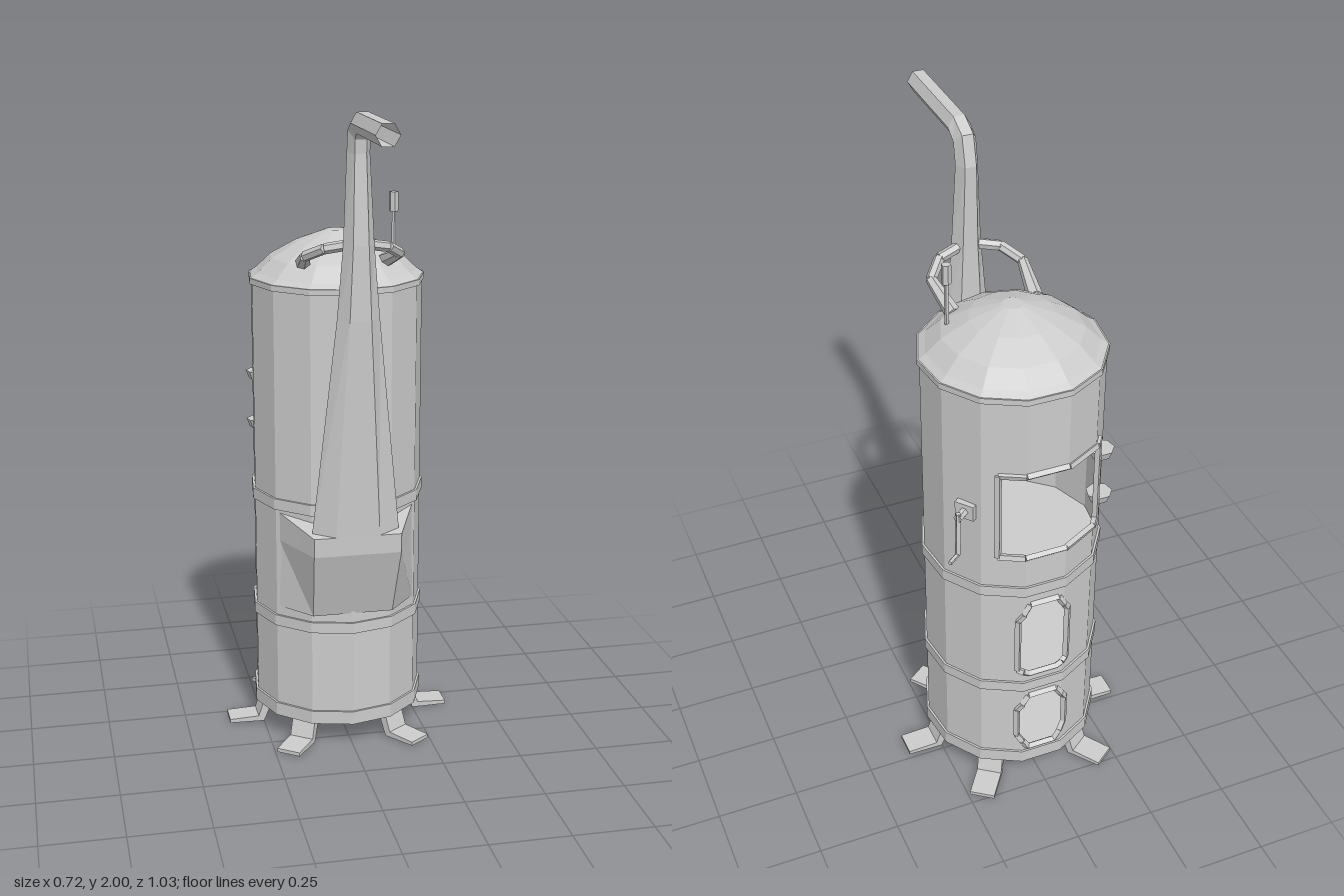
import * as THREE from 'three';

const N = 13, R = 0.268, CZ = -0.197;
const mat = new THREE.MeshStandardMaterial({ color: 0xcccccc, flatShading: true, side: THREE.DoubleSide });
const V = (x, y, z) => new THREE.Vector3(x, y, z);

function add(parent, name, geo, x = 0, y = 0, z = 0) {
  const m = new THREE.Mesh(geo, mat);
  m.name = name;
  m.position.set(x, y, z);
  parent.add(m);
  return m;
}

function meshGeo(points, index) {
  const g = new THREE.BufferGeometry().setFromPoints(points);
  g.setIndex(index);
  g.computeVertexNormals();
  return g;
}

// Skin over a list of equal-length closed rings
function loft(rings) {
  const n = rings[0].length, index = [];
  for (let i = 0; i < rings.length - 1; i++)
    for (let j = 0; j < n; j++) {
      const a = i * n + j, b = i * n + (j + 1) % n;
      index.push(a, b, b + n, a, b + n, a + n);
    }
  return meshGeo(rings.flat(), index);
}

// Straight bar between two points
function bar(parent, name, a, b, r, sides = 4, r2 = r) {
  const d = b.clone().sub(a);
  const m = add(parent, name, new THREE.CylinderGeometry(r2, r, d.length(), sides));
  m.position.copy(a).add(b).multiplyScalar(0.5);
  m.quaternion.setFromUnitVectors(V(0, 1, 0), d.normalize());
  return m;
}

const lathe = pts => new THREE.LatheGeometry(pts.map(p => new THREE.Vector2(...p)), N);

// Openings in the back wall, as [x, lower y, upper y] from left to right
const openings = [
  { name: 'fireDoorFrame', cols: [[0.08, 0.19, 0.30], [0.045, 0.13, 0.355], [-0.045, 0.13, 0.355], [-0.08, 0.19, 0.30]] },
  { name: 'middleDoorFrame', cols: [[0.08, 0.47, 0.67], [0.045, 0.45, 0.73], [-0.045, 0.45, 0.73], [-0.08, 0.47, 0.67]] },
  { name: 'upperDoorFrame', cols: [[0.135, 0.915, 1.21], [-0.2, 0.915, 1.21]] },
];

function span(cols, x) {
  for (let i = 0; i < cols.length - 1; i++) {
    const [a, b] = [cols[i], cols[i + 1]];
    if (x <= a[0] + 1e-6 && x >= b[0] - 1e-6) {
      const t = (a[0] - x) / (a[0] - b[0]);
      return [a[1] + (b[1] - a[1]) * t, a[2] + (b[2] - a[2]) * t];
    }
  }
  return null;
}

// Wall columns: polygon corners plus the opening edges on the back facets
function wallColumns() {
  const corner = k => [R * Math.sin(k * 2 * Math.PI / N), CZ + R * Math.cos(k * 2 * Math.PI / N)];
  const cuts = [...new Set(openings.flatMap(o => o.cols.map(c => c[0])))].sort((a, b) => b - a);
  const out = [];
  for (let k = 0; k < N; k++) {
    const a = corner(k), b = corner(k + 1);
    out.push(a);
    if (k >= 4 && k <= 8)
      for (const x of cuts)
        if (x < a[0] && x > b[0]) out.push([x, a[1] + (b[1] - a[1]) * (a[0] - x) / (a[0] - b[0])]);
  }
  out.push(corner(N));
  return out;
}

function buildBody(g) {
  const cols = wallColumns(), pts = [], index = [];
  for (let i = 0; i < cols.length - 1; i++) {
    const [a, b] = [cols[i], cols[i + 1]];
    const ya = [0.075], yb = [0.075];
    if (a[1] < CZ && b[1] < CZ)
      for (const o of openings) {
        const sa = span(o.cols, a[0]), sb = span(o.cols, b[0]);
        if (sa && sb) { ya.push(...sa); yb.push(...sb); }
      }
    ya.push(1.465); yb.push(1.465);
    for (let j = 0; j < ya.length; j += 2) {
      const s = pts.length;
      pts.push(V(a[0], ya[j], a[1]), V(b[0], yb[j], b[1]), V(b[0], yb[j + 1], b[1]), V(a[0], ya[j + 1], a[1]));
      index.push(s, s + 1, s + 2, s, s + 2, s + 3);
    }
  }
  add(g, 'bodyWall', meshGeo(pts, index));

  // Raised trim around each opening
  for (const o of openings) {
    const inside = cols.filter(c => c[1] < CZ && span(o.cols, c[0]));
    const edge = s => inside.map(c => V(c[0], span(o.cols, c[0])[s], c[1]));
    const loop = [...edge(0), ...edge(1).reverse()];
    loop.forEach((p, i) => bar(g, o.name, p, loop[(i + 1) % loop.length], 0.011));
  }

  // Bands and rims
  for (const [y0, y1] of [[0.075, 0.118], [0.385, 0.42], [0.77, 0.805], [1.455, 1.473]])
    add(g, 'band', lathe([[R, y0], [0.275, y0], [0.275, y1], [R, y1]]), 0, 0, CZ);
  // Inner floors
  for (const y of [0.08, 0.4, 0.79]) add(g, 'innerFloor', lathe([[0, y], [R - 0.001, y]]), 0, 0, CZ);
  // Domed lid
  add(g, 'dome', lathe([[0.272, 1.472], [0.25, 1.487], [0.205, 1.53], [0.125, 1.575], [0.03, 1.61], [0, 1.61]]), 0, 0, CZ);
}

export function createModel() {
  const root = new THREE.Group();
  root.name = 'boiler';
  buildBody(root);

  // Six splayed feet
  const foot = new THREE.Shape([[0.215, 0.085], [0.245, 0.085], [0.268, 0.018], [0.362, 0.014], [0.362, 0.002], [0.25, 0]]
    .map(p => new THREE.Vector2(...p)));
  const footGeo = new THREE.ExtrudeGeometry(foot, { depth: 0.078, bevelEnabled: false }).translate(0, 0, -0.039);
  for (const deg of [0, 54, 126, 180, 234, 306])
    add(root, 'foot', footGeo, 0, 0, CZ).rotation.y = deg * Math.PI / 180;

  // Hood bulging from the front wall
  const hoodRing = (y, w, f, yBack = y, wf = 0.135) =>
    [V(w, yBack, -0.04), V(wf, y, f), V(-wf, y, f), V(-w, yBack, -0.04)];
  add(root, 'hood', loft([hoodRing(0.45, 0.215, 0.068, 0.45, 0.125), hoodRing(0.67, 0.212, 0.143), hoodRing(0.73, 0.212, 0.145, 0.76)]));
  add(root, 'hoodTop', meshGeo(hoodRing(0.73, 0.212, 0.145, 0.76), [0, 2, 1, 0, 3, 2]));

  // Tapering hexagonal flue: [y, z, lean, half width, half depth]
  const flue = [
    [0.73, 0.107, 0, 0.135, 0.038], [1.4, 0.143, 0, 0.064, 0.034], [1.62, 0.145, 0, 0.046, 0.035],
    [1.88, 0.137, 0, 0.034, 0.033], [1.945, 0.15, 0.8, 0.034, 0.034],
    [1.969, 0.19, Math.PI / 2, 0.034, 0.03], [1.969, 0.515, Math.PI / 2, 0.034, 0.03],
  ];
  const hex = [[1, 0], [0.5, 1], [-0.5, 1], [-1, 0], [-0.5, -1], [0.5, -1]];
  add(root, 'flue', loft(flue.map(([y, z, t, w, d]) =>
    hex.map(([a, b]) => V(a * w, y + b * d * Math.sin(t), z - b * d * Math.cos(t))))));

  // Arms tying the flue to the dome
  for (const s of [-1, 1]) {
    const p = [V(s * 0.125, 1.53, -0.07), V(s * 0.142, 1.575, 0.06), V(s * 0.095, 1.605, 0.115), V(s * 0.025, 1.618, 0.135)];
    for (let i = 0; i < 3; i++) bar(root, 'flueArm', p[i], p[i + 1], i ? 0.016 : 0.024, 6, 0.016);
  }

  // Valve rod on the dome
  bar(root, 'valveRod', V(0.165, 1.5, -0.122), V(0.165, 1.69, -0.122), 0.007, 5);
  bar(root, 'valveGrip', V(0.165, 1.67, -0.122), V(0.165, 1.73, -0.122), 0.014, 6);

  // Hinge lugs beside the upper opening
  for (const y of [0.97, 1.13]) add(root, 'hingeLug', new THREE.CylinderGeometry(0.04, 0.03, 0.026, 7), -0.226, y, -0.332);

  // Side crank
  const crank = new THREE.Group();
  crank.name = 'crank';
  crank.position.set(0, 0, CZ);
  crank.rotation.y = 0.67;
  add(crank, 'crankPlate', new THREE.BoxGeometry(0.02, 0.05, 0.06), 0.268, 1.07, 0);
  bar(crank, 'crankShaft', V(0.26, 1.07, 0), V(0.315, 1.07, 0), 0.013, 6);
  bar(crank, 'crankArm', V(0.31, 1.085, 0), V(0.315, 0.94, 0), 0.009);
  bar(crank, 'crankHandle', V(0.31, 0.94, 0), V(0.36, 0.94, 0), 0.007, 5);
  root.add(crank);

  return root;
}
